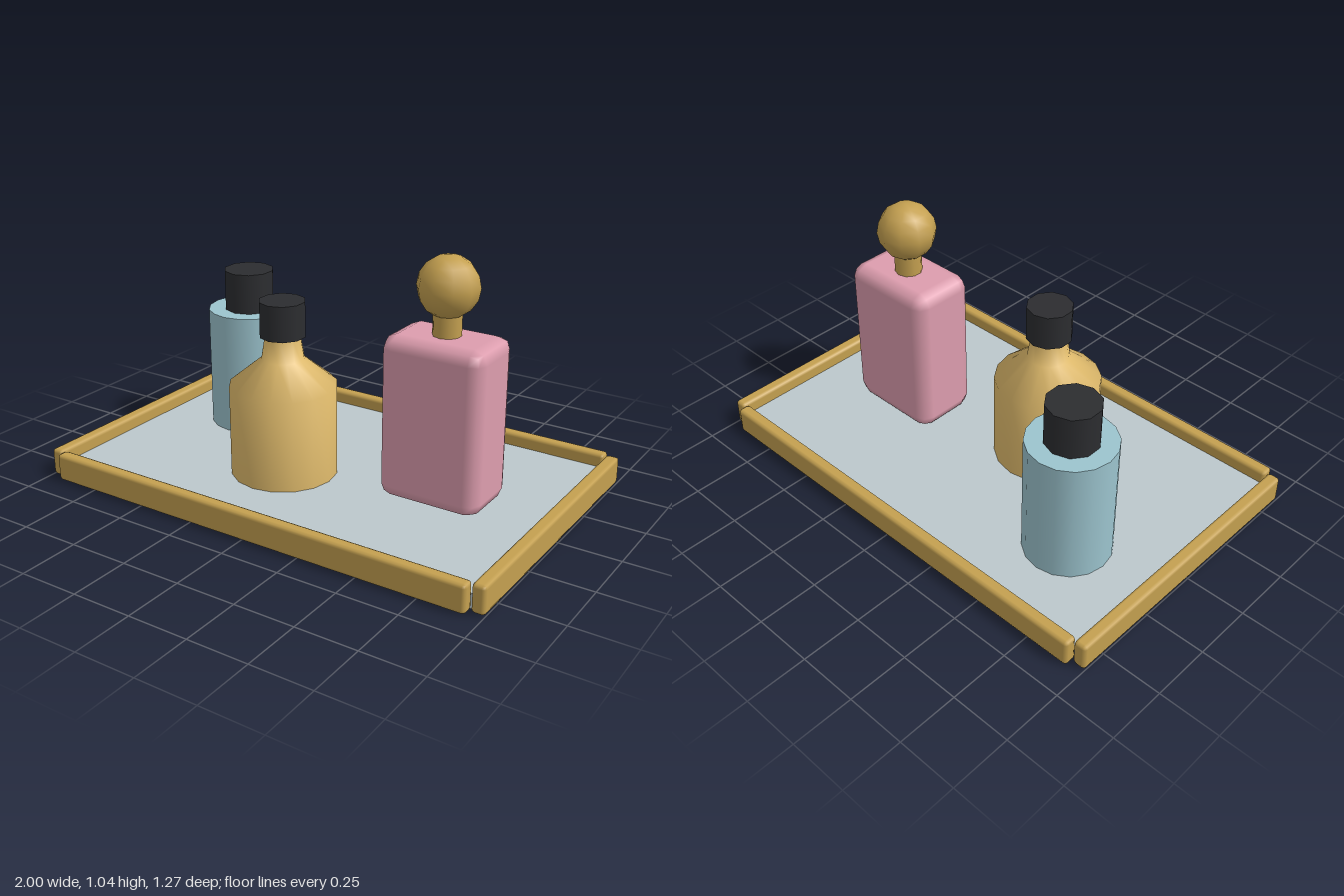
import * as THREE from 'three';
import { RoundedBoxGeometry } from 'three/addons/geometries/RoundedBoxGeometry.js';

const paint = (color) => new THREE.MeshStandardMaterial({ color });
const brass = paint(0xc4a050);
const black = paint(0x2c2d30);
const pink = paint(0xdd9dae);
const amber = paint(0xe0bb6c);
const blue = paint(0x9cc4ce);
const glass = paint(0xbcc8cc);

function add(parent, name, geometry, material, x, y, z) {
  const mesh = new THREE.Mesh(geometry, material);
  mesh.name = name;
  mesh.position.set(x, y, z);
  parent.add(mesh);
  return mesh;
}

// Upright cylinder standing between heights y0 and y1
function post(parent, name, material, r, y0, y1, sides) {
  return add(parent, name, new THREE.CylinderGeometry(r, r, y1 - y0, sides), material, 0, (y0 + y1) / 2, 0);
}

function bottleGroup(parent, name, x, z) {
  const group = new THREE.Group();
  group.name = name;
  group.position.set(x, 0, z);
  parent.add(group);
  return group;
}

export function createModel() {
  const model = new THREE.Group();
  const floor = 0.06; // top of the tray plate

  // Tray: plate and four bevelled rails
  const tray = new THREE.Group();
  tray.name = 'tray';
  model.add(tray);
  add(tray, 'trayPlate', new THREE.BoxGeometry(1.89, floor, 1.165), glass, 0, floor / 2, 0);
  const railHeight = 0.115;
  for (const s of [1, -1]) {
    add(tray, s > 0 ? 'frontRail' : 'backRail',
      new RoundedBoxGeometry(1.88, railHeight, 0.055, 1, 0.015), brass, 0, railHeight / 2, s * 0.61);
    add(tray, s > 0 ? 'leftRail' : 'rightRail',
      new RoundedBoxGeometry(0.055, railHeight, 1.215, 1, 0.015), brass, s * 0.9725, railHeight / 2, 0);
  }

  // Rectangular bottle with a round stopper
  const square = bottleGroup(model, 'rectangularBottle', 0.505, 0);
  const h = 0.727 - floor;
  add(square, 'rectangularBody', new RoundedBoxGeometry(0.43, h, 0.288, 1, 0.055), pink, 0, floor + h / 2, 0);
  post(square, 'stopperNeck', brass, 0.0565, 0.72, 0.82, 10);
  const knob = add(square, 'stopperKnob', new THREE.SphereGeometry(0.122, 10, 8), brass, 0, 0.915, 0);
  knob.rotation.y = Math.PI / 2;

  // Shouldered bottle
  const shouldered = bottleGroup(model, 'shoulderedBottle', -0.148, 0.141);
  const profile = [[0, floor], [0.218, floor], [0.218, 0.438], [0.087, 0.546], [0.071, 0.645], [0, 0.645]]
    .map(([r, y]) => new THREE.Vector2(r, y));
  // Base and top discs are kept apart so their rims stay sharp
  add(shouldered, 'shoulderedBody', new THREE.LatheGeometry(profile.slice(1, 5), 16), amber, 0, 0, 0);
  add(shouldered, 'shoulderedBase', new THREE.LatheGeometry(profile.slice(0, 2), 16), amber, 0, 0, 0);
  post(shouldered, 'shoulderedCap', black, 0.094, 0.64, 0.785, 10);

  // Round bottle
  const round = bottleGroup(model, 'roundBottle', -0.583, -0.22);
  post(round, 'roundBody', blue, 0.178, floor, 0.582, 16);
  post(round, 'roundCap', black, 0.108, 0.582, 0.755, 10);

  return model;
}
